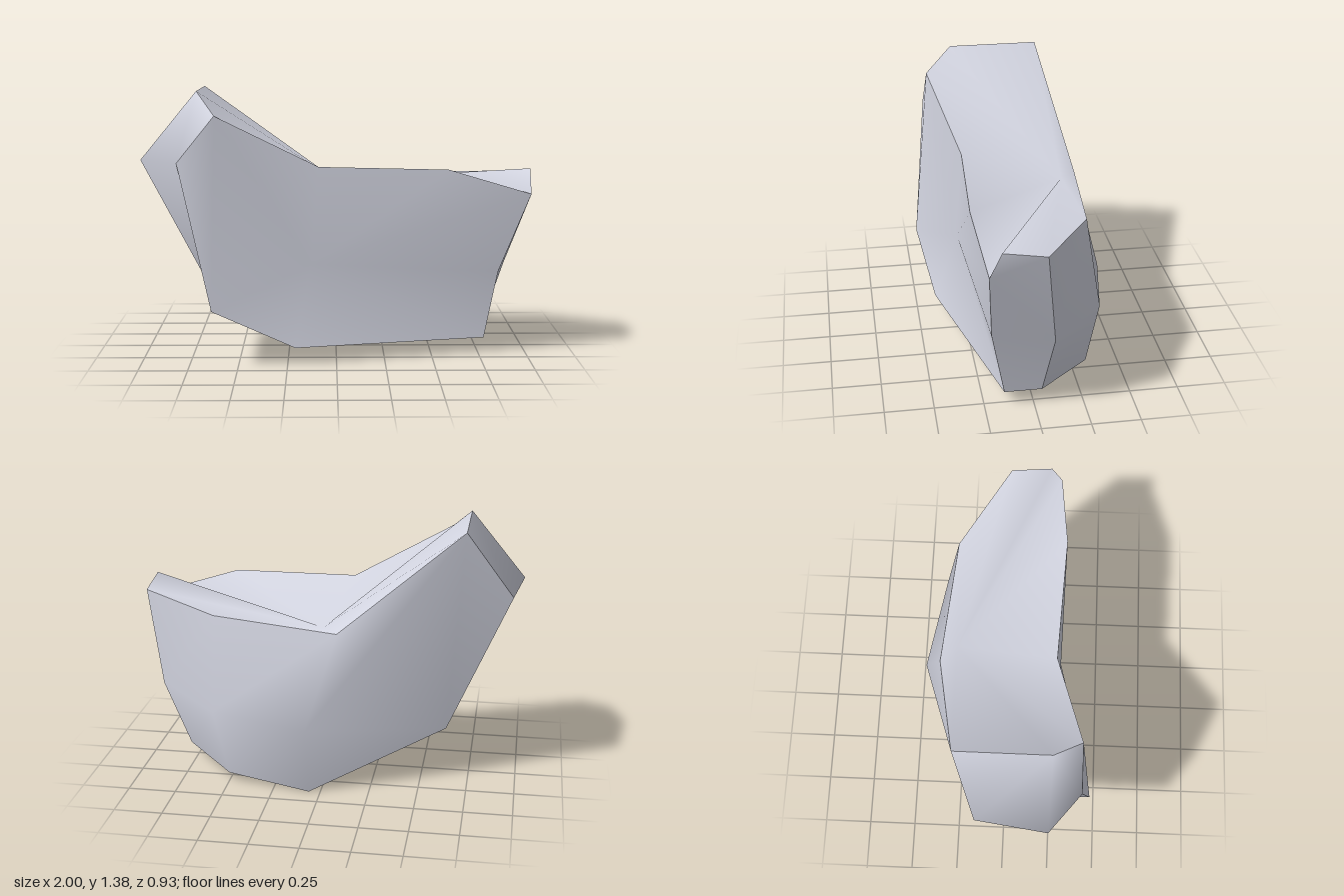
import * as THREE from 'three';

// Corner points of the rock, named by region
const P = {
  // raised shoulder on the -x end
  a: [-0.71, 1.385, 0.235], b: [-0.71, 1.385, -0.24], c: [-0.95, 1.03, -0.13], d: [-1, 1.035, 0.23],
  e: [-0.8, 1.035, 0.39], f: [-0.61, 1.27, 0.38], g: [-0.63, 0.295, 0.465], h: [-0.63, 0.295, -0.13], i: [-0.63, 0.295, 0.15],
  // top rim, front then back
  p1: [-0.09, 1.0, 0.25], p2: [0.57, 0.99, 0.285], t1: [-0.08, 0.865, -0.355], t2: [0.57, 0.91, -0.29],
  // shallow dips in the top, front and base
  v: [0, 0.87, -0.27], w: [-0.13, 0.5, 0.278], u: [-0.07, 0.05, -0.15],
  // narrow +x end
  r1: [1, 0.95, -0.025], r2: [1, 0.985, 0.19], r3: [1, 0.86, 0.25],
  m1: [0.84, 0.45, 0.22], m2: [0.91, 0.44, -0.08], n1: [0.78, 0.08, 0.15], n2: [0.78, 0.08, -0.04],
  // back bulge and base
  q1: [0.07, 0.37, -0.465], q2: [0.57, 0.41, -0.37], k1: [0.06, 0, -0.39], k2: [0.5, 0.045, -0.32],
  s: [-0.21, 0.09, 0.4],
};

// Triangles joining a centre point to each edge of a closed rim
function fan(centre, rim) {
  const names = rim.split(' ');
  return names.map((n, j) => `${centre} ${n} ${names[(j + 1) % names.length]}`);
}

// Each side is smooth inside and meets its neighbours at a sharp edge
const SIDES = {
  frontFace: ['f e g', ...fan('w', 'f g s n1 m1 r3 p2 p1')],
  topHollow: fan('v', 'a f p1 p2 r3 r2 r1 t2 t1 b'),
  shoulder: ['c d a b', 'c h i d', 'd i e', 'i g e', 'd e a', 'e f a'],
  backFace: ['c b h', 'b q1 h', 'b t1 q1', 't1 t2 q2 q1', 't2 r1 m2 q2', 'q2 m2 n2 k2', 'q1 q2 k2 k1', 'h q1 k1'],
  narrowEnd: ['m1 n1 n2 m2', 'r3 m1 m2 r1', 'r3 r1 r2'],
  base: fan('u', 'k1 k2 n2 n1 s g i h'),
};

// Builds one side from polygons, fanned from their first corner
function sideGeometry(polygons) {
  const names = [...new Set(polygons.join(' ').split(' '))];
  const index = [];
  for (const polygon of polygons) {
    const ids = polygon.split(' ').map((n) => names.indexOf(n));
    for (let j = 1; j < ids.length - 1; j++) index.push(ids[0], ids[j], ids[j + 1]);
  }
  const geometry = new THREE.BufferGeometry();
  geometry.setAttribute('position', new THREE.Float32BufferAttribute(names.flatMap((n) => P[n]), 3));
  geometry.setIndex(index);
  geometry.computeVertexNormals();
  return geometry;
}

export function createModel() {
  const stone = new THREE.MeshStandardMaterial({ color: 0xd2d4e0 });
  stone.name = 'paleGreyStone';
  const rock = new THREE.Group();
  rock.name = 'rock';
  for (const [name, polygons] of Object.entries(SIDES)) {
    const mesh = new THREE.Mesh(sideGeometry(polygons), stone);
    mesh.name = name;
    rock.add(mesh);
  }
  return rock;
}
